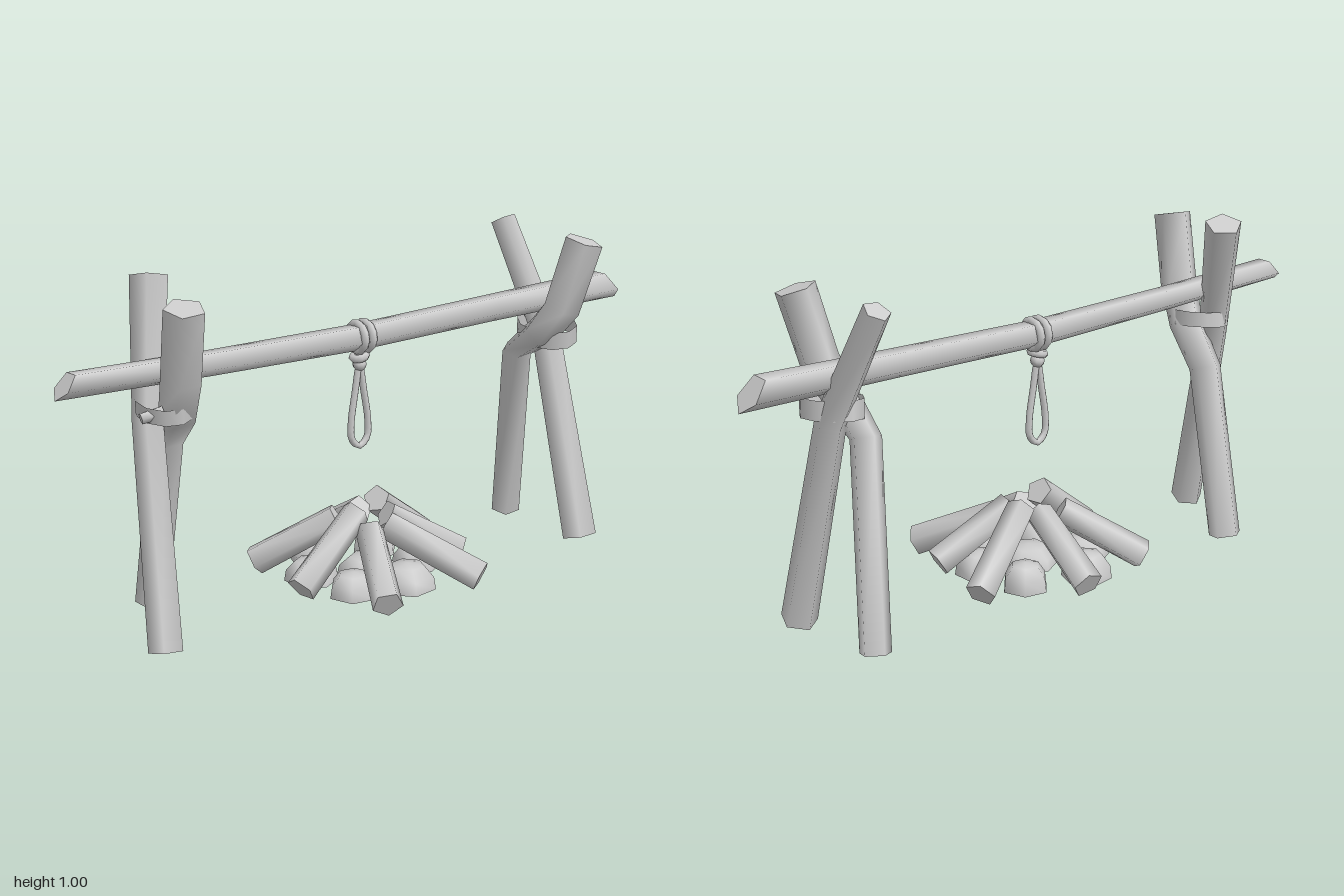
import * as THREE from 'three';
import { toCreasedNormals } from 'three/addons/utils/BufferGeometryUtils.js';

const material = new THREE.MeshStandardMaterial({ color: 0xcccccc, side: THREE.DoubleSide });
const vec = (p) => new THREE.Vector3(...p);

function add(parent, name, geometry, position = [0, 0, 0], rotation = [0, 0, 0]) {
  const mesh = new THREE.Mesh(geometry, material);
  mesh.name = name;
  mesh.position.set(...position);
  mesh.rotation.set(...rotation);
  parent.add(mesh);
  return mesh;
}

// Tapered log through rows of [x, y, z, radius]: smooth bark, flat (optionally slanted) ends
function logGeometry(rows, { sides = 5, ref = [0, 1, 0], turn = 0.3, slant = 0 } = {}) {
  const pts = rows.map((r) => vec(r.slice(0, 3)));
  const last = pts.length - 1;
  const pos = [], index = [];
  const rings = pts.map((p, i) => {
    const t = pts[Math.min(i + 1, last)].clone().sub(pts[Math.max(i - 1, 0)]).normalize();
    const a = vec(ref).addScaledVector(t, -vec(ref).dot(t)).normalize();
    const b = new THREE.Vector3().crossVectors(t, a);
    const end = i === 0 ? -1 : i === last ? 1 : 0;
    return Array.from({ length: sides }, (_, j) => {
      const ang = turn + (j / sides) * Math.PI * 2, r = rows[i][3];
      return p.clone().addScaledVector(a, Math.cos(ang) * r).addScaledVector(b, Math.sin(ang) * r)
        .addScaledVector(t, -end * slant * Math.cos(ang) * r);
    });
  });
  rings.forEach((ring) => ring.forEach((v) => pos.push(v.x, v.y, v.z)));
  for (let i = 0; i < last; i++) {
    for (let j = 0; j < sides; j++) {
      const k = (j + 1) % sides, p = i * sides, q = p + sides;
      index.push(p + j, p + k, q + k, p + j, q + k, q + j);
    }
  }
  for (const [ring, flip] of [[rings[0], true], [rings[last], false]]) {
    const base = pos.length / 3;
    ring.forEach((v) => pos.push(v.x, v.y, v.z));
    for (let j = 1; j < sides - 1; j++) {
      index.push(base, base + (flip ? j + 1 : j), base + (flip ? j : j + 1));
    }
  }
  const g = new THREE.BufferGeometry();
  g.setAttribute('position', new THREE.Float32BufferAttribute(pos, 3));
  g.setIndex(index);
  g.computeVertexNormals();
  return g;
}

// Flat lashing: a short oval sleeve
function lashing(rx, rz, height) {
  const g = new THREE.CylinderGeometry(1, 1, height, 10, 1, true);
  return g.scale(rx, 1, rz);
}

export function createModel() {
  const model = new THREE.Group();
  model.name = 'campfireSpit';

  // Crossbar resting in the forks
  add(model, 'crossbar', logGeometry([
    [-0.97, 0.772, -0.012, 0.037], [-0.5, 0.756, -0.025, 0.038], [0, 0.746, -0.038, 0.041],
    [0.5, 0.757, -0.043, 0.043], [0.965, 0.766, -0.045, 0.048],
  ], { slant: 0.75, turn: 0.6 }));

  // Crossed supports, one straight pole and one crooked pole at each end
  const post = { ref: [1, 0, 0] };
  const leftSupport = new THREE.Group();
  leftSupport.name = 'leftSupport';
  add(leftSupport, 'straightPole', logGeometry([
    [0.742, 0.02, 0.11, 0.054], [0.725, 0.64, -0.052, 0.046], [0.69, 0.975, -0.225, 0.04],
  ], post));
  add(leftSupport, 'crookedPole', logGeometry([
    [0.715, 0.025, -0.215, 0.046], [0.645, 0.59, -0.095, 0.046], [0.638, 0.67, 0.02, 0.052],
    [0.66, 0.76, 0.088, 0.058], [0.705, 0.965, 0.128, 0.06],
  ], post));
  add(leftSupport, 'lashing', lashing(0.083, 0.102, 0.055), [0.692, 0.666, -0.01], [0.12, 0, 0.1]);

  const rightSupport = new THREE.Group();
  rightSupport.name = 'rightSupport';
  add(rightSupport, 'straightPole', logGeometry([
    [-0.765, 0.02, 0.12, 0.05], [-0.705, 0.62, -0.04, 0.045], [-0.62, 0.99, -0.155, 0.056],
  ], post));
  add(rightSupport, 'crookedPole', logGeometry([
    [-0.615, 0.025, -0.205, 0.05], [-0.61, 0.54, -0.105, 0.05], [-0.65, 0.65, 0.025, 0.054],
    [-0.67, 0.76, 0.08, 0.058], [-0.685, 0.965, 0.13, 0.058],
  ], post));
  add(rightSupport, 'lashing', lashing(0.075, 0.098, 0.045), [-0.672, 0.668, -0.01], [0.1, 0, 0.1]);
  add(rightSupport, 'lashingEnd', logGeometry([
    [-0.76, 0.652, 0.015, 0.016], [-0.70, 0.665, 0.03, 0.018],
  ]));
  model.add(leftSupport, rightSupport);

  // Rope wound on the crossbar, with a knot and a hanging loop
  const rope = new THREE.Group();
  rope.name = 'hangingRope';
  for (const x of [-0.008, 0.02]) {
    add(rope, 'ropeWrap', new THREE.TorusGeometry(0.041, 0.012, 6, 12), [x, 0.746, -0.038], [0, Math.PI / 2, 0.06]);
  }
  add(rope, 'knot', new THREE.SphereGeometry(0.021, 8, 6), [0, 0.665, -0.038]);
  add(rope, 'knotCollar', new THREE.TorusGeometry(0.02, 0.012, 6, 10), [0, 0.688, -0.038], [Math.PI / 2, 0.25, 0]);
  const loop = new THREE.CatmullRomCurve3([
    [0, 0.66], [0.016, 0.58], [0.03, 0.49], [0.027, 0.44], [0, 0.417],
    [-0.027, 0.44], [-0.03, 0.49], [-0.016, 0.58],
  ].map(([x, y]) => new THREE.Vector3(x, y, -0.038)), true);
  add(rope, 'ropeLoop', new THREE.TubeGeometry(loop, 32, 0.01, 6, true));
  model.add(rope);

  // Firewood leaning towards the middle: outer end, inner end
  const fire = new THREE.Group();
  fire.name = 'firePile';
  const firewood = [
    [[-0.28, 0.065, 0.06], [-0.05, 0.24, 0.015]],
    [[-0.25, 0.06, -0.225], [-0.06, 0.2, -0.07]],
    [[0.04, 0.07, -0.31], [0.015, 0.21, -0.06]],
    [[0.31, 0.065, -0.16], [0.07, 0.235, -0.05]],
    [[0.275, 0.075, 0.08], [0.05, 0.215, 0.025]],
    [[0.2, 0.065, 0.285], [0.035, 0.19, 0.05]],
    [[-0.15, 0.065, 0.3], [-0.035, 0.19, 0.06]],
  ];
  firewood.forEach(([outer, inner], i) => {
    add(fire, 'firewood', logGeometry([[...outer, 0.046], [...inner, 0.043]], { turn: i * 0.5 }));
  });

  // Flat-bottomed stones under the wood: x, z, radius, height
  const stones = [
    [0, 0, 0.09, 0.06], [-0.06, -0.19, 0.075, 0.08], [0.13, -0.14, 0.07, 0.08], [0.16, 0.03, 0.075, 0.07],
    [0.03, 0.155, 0.085, 0.075], [-0.13, 0.11, 0.075, 0.07], [-0.16, -0.06, 0.08, 0.065],
  ];
  stones.forEach(([x, z, r, h], i) => {
    const profile = [[0, 0], [r, 0], [r * 0.93, h * 0.5], [r * 0.6, h * 0.92], [0, h]]
      .map(([a, b]) => new THREE.Vector2(a, b));
    const stone = toCreasedNormals(new THREE.LatheGeometry(profile, 6), 1.1);
    add(fire, 'stone', stone, [x, 0.03, z], [0, i * 0.7, 0]);
  });
  model.add(fire);

  return model;
}
